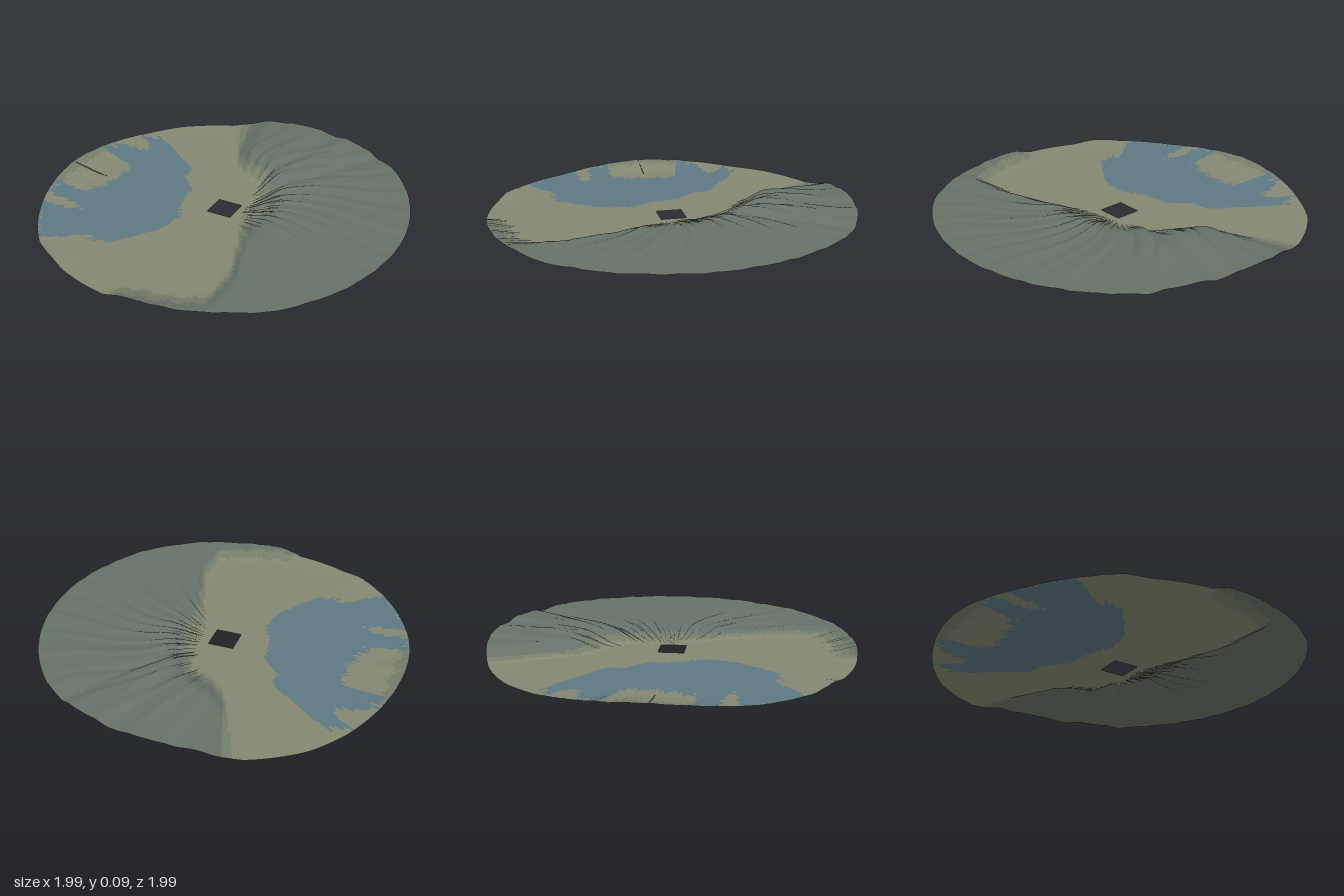
import * as THREE from 'three';

const SPOKES = 360, RINGS = 44, HOLE = 0.07;
const smooth = THREE.MathUtils.smoothstep;

// Piecewise interpolation through [angle in degrees, value] pairs
function sample(table, a) {
  for (let i = 1; i < table.length; i++) {
    const [a0, v0] = table[i - 1], [a1, v1] = table[i];
    if (a <= a1) return v0 + (v1 - v0) * (a - a0) / (a1 - a0);
  }
  return table[table.length - 1][1];
}

// Radius at which the slope begins, by angle from +x towards +z
const SLOPE_START = [[-180, 0.75], [-150, 0.8], [-122, 0.9], [-114, 0.7], [-108, 0.4], [-98, 0.32], [-80, 0.28],
  [-68, 0.18], [-30, 0.1], [0, 0.09], [30, 0.12], [45, 0.2], [54, 0.36], [59, 0.55], [68, 0.78], [90, 0.82],
  [115, 0.85], [140, 0.85], [180, 0.75]];

// Height of the high ground, by angle
const CREST = [[-180, 0.04], [-165, 0.03], [-145, 0.004], [-115, 0.001], [-109, 0.02], [-102, 0.055], [-92, 0.064],
  [-86, 0.072], [-76, 0.058], [-69, 0.072], [-60, 0.062], [-56, 0.048], [-48, 0.06], [-30, 0.055], [0, 0.048],
  [22, 0.046], [27, 0.04], [38, 0.043], [50, 0.034], [62, 0.04], [72, 0.034], [85, 0.042], [92, 0.04], [98, 0.003],
  [115, 0.003], [123, 0.03], [131, 0.006], [150, 0.004], [164, 0.025], [180, 0.04]];

// Lake outline in the ground plane (x, z)
const LAKE = [[-0.86, -0.53], [-0.72, -0.55], [-0.37, -0.3], [-0.36, -0.2], [-0.26, -0.1], [-0.24, 0.05], [-0.17, 0.2],
  [-0.2, 0.35], [-0.38, 0.6], [-0.5, 0.57], [-0.74, 0.74], [-0.93, 0.42], [-0.65, 0.37], [-0.97, 0.3], [-0.95, 0.2],
  [-0.76, 0.2], [-0.7, 0], [-0.7, -0.18], [-0.96, -0.24], [-0.92, -0.33], [-0.7, -0.4]];

function inLake(x, z) {
  let inside = false;
  LAKE.forEach(([x1, z1], i) => {
    const [x2, z2] = LAKE[(i + LAKE.length - 1) % LAKE.length];
    if ((z1 > z) !== (z2 > z) && x < (x2 - x1) * (z - z1) / (z2 - z1) + x1) inside = !inside;
  });
  return inside;
}

// Fine streaks that run outward along the spokes
const streak = a => 0.5 * Math.sin(a * 0.62) + 0.3 * Math.sin(a * 1.13 + 2) + 0.2 * Math.sin(a * 0.31 + 1);
const wobble = a => 0.03 * Math.sin(a * 1.7) * Math.sin(a * 0.93 + 1);

function slope(a, r) {
  const start = sample(SLOPE_START, a) + wobble(a) * 0.6;
  return smooth(r, start, start + (Math.abs(a) > 110 ? 0.28 : 0.24));
}

function heightAt(a, r) {
  const rock = slope(a, r);
  const hump = 0.2 * Math.exp(-(((r - 0.62) / 0.18) ** 2)) * smooth(-a, 50, 75);
  const ridges = 0.17 * streak(a + 7 * Math.sin(r * 5)) * (1 - 0.6 * r);
  return 0.003 + sample(CREST, a) * rock * (1 + hump + ridges);
}

// Rim made of four shallow arcs meeting at soft corners
function rimRadius(a) {
  const off = Math.abs(a) > 90 ? 180 - Math.abs(a) : Math.abs(a);
  const t = off < 47.4 ? off / 47.4 : (90 - off) / 42.6;
  return 0.996 + 0.022 * t * t;
}

function groundType(a, r) {
  const x = r * Math.cos(a * Math.PI / 180), z = r * Math.sin(a * Math.PI / 180);
  const rr = 1 + wobble(a) * 1.5;
  if (inLake(x * rr, z * rr)) return 'lake';
  const rock = slope(a, r) * smooth(sample(CREST, a), 0.004, 0.03);
  if (Math.abs(a) > 112) return rock > 0.7 ? 'foothills' : 'plain';
  return rock > 0.6 ? 'hills' : rock > 0.2 ? 'foothills' : 'plain';
}

export function createModel() {
  const group = new THREE.Group();
  group.name = 'terrain';

  // Spokes run from the square opening out to the rim
  const positions = [], angles = [], radii = [];
  for (let i = 0; i <= SPOKES; i++) {
    const a = -180 + 360 * i / SPOKES, rad = a * Math.PI / 180;
    const c = Math.cos(rad), s = Math.sin(rad);
    const inner = HOLE / Math.max(Math.abs(c), Math.abs(s)), outer = rimRadius(a);
    for (let j = 0; j <= RINGS; j++) {
      const r = inner + (outer - inner) * j / RINGS;
      positions.push(r * c, heightAt(a, r) - 0.003, r * s);
      angles.push(a);
      radii.push(r);
    }
  }

  // Sort the cells by kind of ground
  const cells = { lake: [], plain: [], foothills: [], hills: [] }, all = [];
  for (let i = 0; i < SPOKES; i++) {
    for (let j = 0; j < RINGS; j++) {
      const p = i * (RINGS + 1) + j, q = p + RINGS + 1;
      const quad = [p, q, p + 1, q, q + 1, p + 1];
      all.push(...quad);
      cells[groundType(angles[p] + 0.5, (radii[p] + radii[p + 1]) / 2)].push(...quad);
    }
  }

  // Normals come from the whole surface so the pieces shade as one
  const surface = new THREE.BufferGeometry();
  surface.setAttribute('position', new THREE.Float32BufferAttribute(positions, 3));
  surface.setIndex(all);
  surface.computeVertexNormals();

  const colors = { lake: 0x5d7883, plain: 0x848872, foothills: 0x757d6b, hills: 0x677167 };
  for (const [name, index] of Object.entries(cells)) {
    const geometry = new THREE.BufferGeometry();
    geometry.setAttribute('position', surface.getAttribute('position'));
    geometry.setAttribute('normal', surface.getAttribute('normal'));
    geometry.setIndex(index);
    const mesh = new THREE.Mesh(geometry, new THREE.MeshStandardMaterial({ color: colors[name], side: THREE.DoubleSide }));
    mesh.name = name;
    group.add(mesh);
  }
  return group;
}
